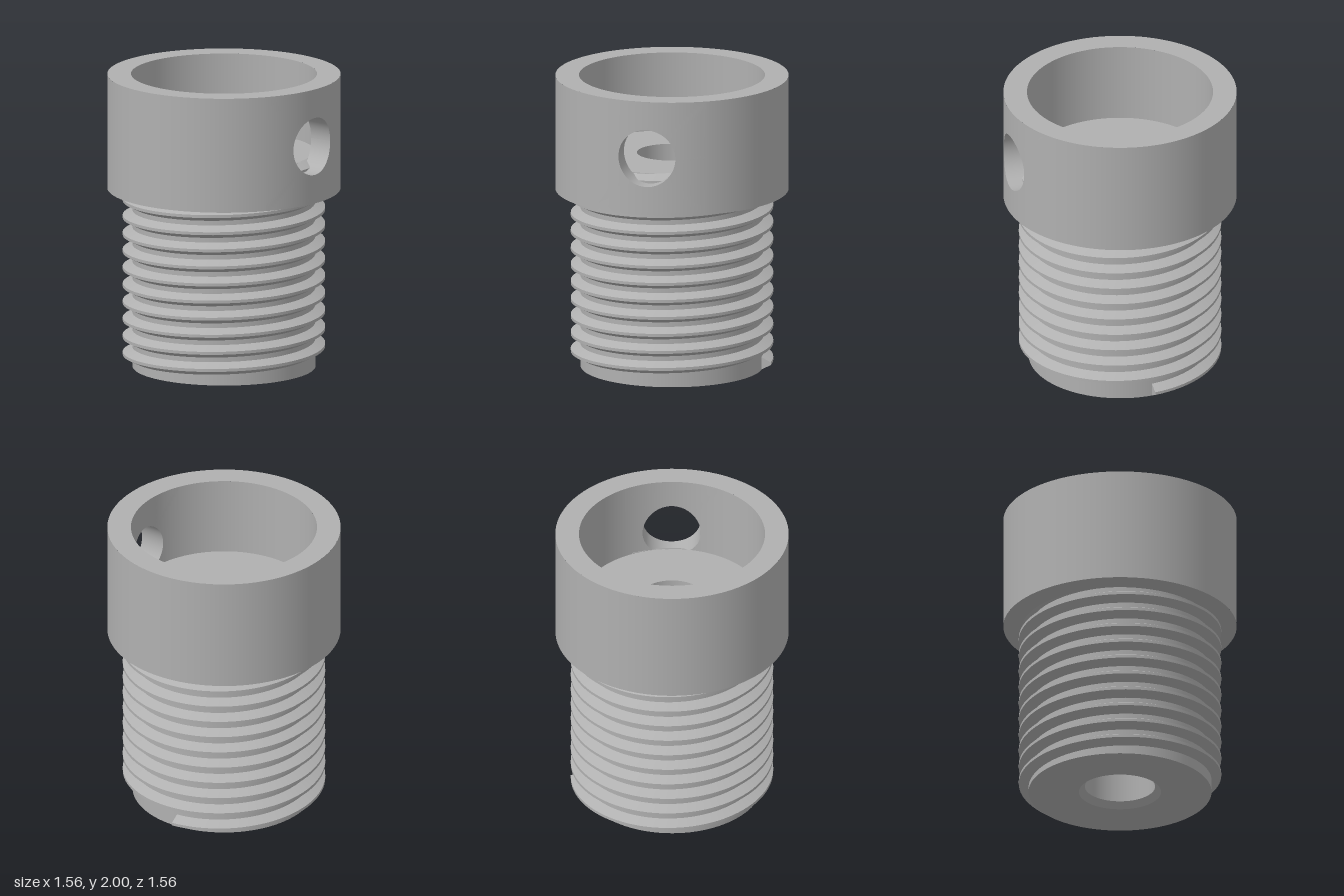
import * as THREE from 'three';
import { mergeGeometries } from 'three/addons/utils/BufferGeometryUtils.js';

const SEG = 96;
const HEAD = { outer: 0.78, inner: 0.622, bottom: 1.22, top: 2 };
const PORT = { y: 1.61, r: 0.195, halfAngle: Math.PI / 6, halfHeight: 0.39 };
const THREAD = { root: 0.605, tip: 0.677, pitch: 0.117, turns: 11.82, start: 0.0475 };

// Grid surface; it faces along dP/du x dP/dv
function surface(fn, nu, nv) {
  const pos = [], uv = [], index = [];
  for (let i = 0; i <= nu; i++) {
    for (let j = 0; j <= nv; j++) {
      pos.push(...fn(i / nu, j / nv));
      uv.push(i / nu, j / nv);
      if (i < nu && j < nv) {
        const a = i * (nv + 1) + j, b = a + nv + 1;
        index.push(a, b, b + 1, a, b + 1, a + 1);
      }
    }
  }
  const g = new THREE.BufferGeometry();
  g.setAttribute('position', new THREE.Float32BufferAttribute(pos, 3));
  g.setAttribute('uv', new THREE.Float32BufferAttribute(uv, 2));
  g.setIndex(index);
  g.computeVertexNormals();
  return g;
}

// Lathe each profile segment on its own so the edges stay sharp
function sharpLathe(points, start = 0, length = Math.PI * 2, seg = SEG) {
  const parts = [];
  for (let i = 0; i < points.length - 1; i++) {
    const pair = [points[i], points[i + 1]].map(p => new THREE.Vector2(...p));
    parts.push(new THREE.LatheGeometry(pair, seg, start, length));
  }
  return mergeGeometries(parts);
}

// Point on the wall of radius r; k runs from the port edge (0) to the patch border (1)
function portPoint(t, k, r) {
  const c = Math.cos(t), s = Math.sin(t), m = Math.max(Math.abs(c), Math.abs(s));
  const angle = THREE.MathUtils.lerp(Math.asin(PORT.r * c / r), PORT.halfAngle * c / m, k);
  const y = PORT.y + THREE.MathUtils.lerp(PORT.r * s, PORT.halfHeight * s / m, k);
  return [r * Math.sin(angle), y, r * Math.cos(angle)];
}

function headGeometry() {
  const { outer, inner, bottom, top } = HEAD;
  const a = PORT.halfAngle, rest = Math.PI * 2 - 2 * a, turn = Math.PI * 2;
  return mergeGeometries([
    // walls around the back and sides
    sharpLathe([[outer, bottom], [outer, top]], a, rest),
    sharpLathe([[inner, top], [inner, bottom]], a, rest),
    // rim and underside
    sharpLathe([[outer, top], [inner, top]]),
    sharpLathe([[inner, bottom], [outer, bottom]]),
    // front patch pierced by the round port
    surface((u, v) => portPoint(u * turn, 1 - v, outer), SEG, 8),
    surface((u, v) => portPoint(u * turn, v, inner), SEG, 8),
    surface((u, v) => {
      const p = portPoint(u * turn, 0, outer), q = portPoint(u * turn, 0, inner);
      return p.map((n, i) => THREE.MathUtils.lerp(n, q[i], v));
    }, SEG, 1),
  ]);
}

function threadGeometry() {
  const { root, tip, pitch, turns, start } = THREAD;
  const profile = [[root, -0.046], [tip, -0.01], [tip, 0.01], [root, 0.046]];
  const place = (turn, r, y) => {
    const a = turn * Math.PI * 2;
    return [r * Math.cos(a), start + pitch * turn + y, -r * Math.sin(a)];
  };
  const parts = [];
  // lower flank, crest and upper flank
  for (let i = 0; i < 3; i++) {
    const [p, q] = [profile[i], profile[i + 1]];
    parts.push(surface((u, v) => place(u * turns,
      THREE.MathUtils.lerp(p[0], q[0], v), THREE.MathUtils.lerp(p[1], q[1], v)),
    Math.round(turns * SEG), 1));
  }
  // flat ends
  const cap = (turn, k, v) => place(turn, THREE.MathUtils.lerp(root, tip, k),
    (2 * v - 1) * THREE.MathUtils.lerp(0.046, 0.01, k));
  parts.push(surface((u, v) => cap(0, u, v), 1, 1));
  parts.push(surface((u, v) => cap(turns, 1 - u, v), 1, 1));
  return mergeGeometries(parts);
}

export function createModel() {
  const group = new THREE.Group();
  group.name = 'threadedFitting';
  const grey = new THREE.MeshStandardMaterial({ color: 0xb0b0b0 });
  grey.name = 'plain grey';
  const add = (name, geometry) => {
    const mesh = new THREE.Mesh(geometry, grey);
    mesh.name = name;
    group.add(mesh);
  };

  // hollow shank with a bevelled bore at the bottom
  add('shank', sharpLathe([
    [0.275, 0], [0.612, 0], [0.612, 1.467], [0.235, 1.467], [0.235, 0.04], [0.275, 0],
  ]));
  add('screwThread', threadGeometry());
  add('cupHead', headGeometry());
  return group;
}
